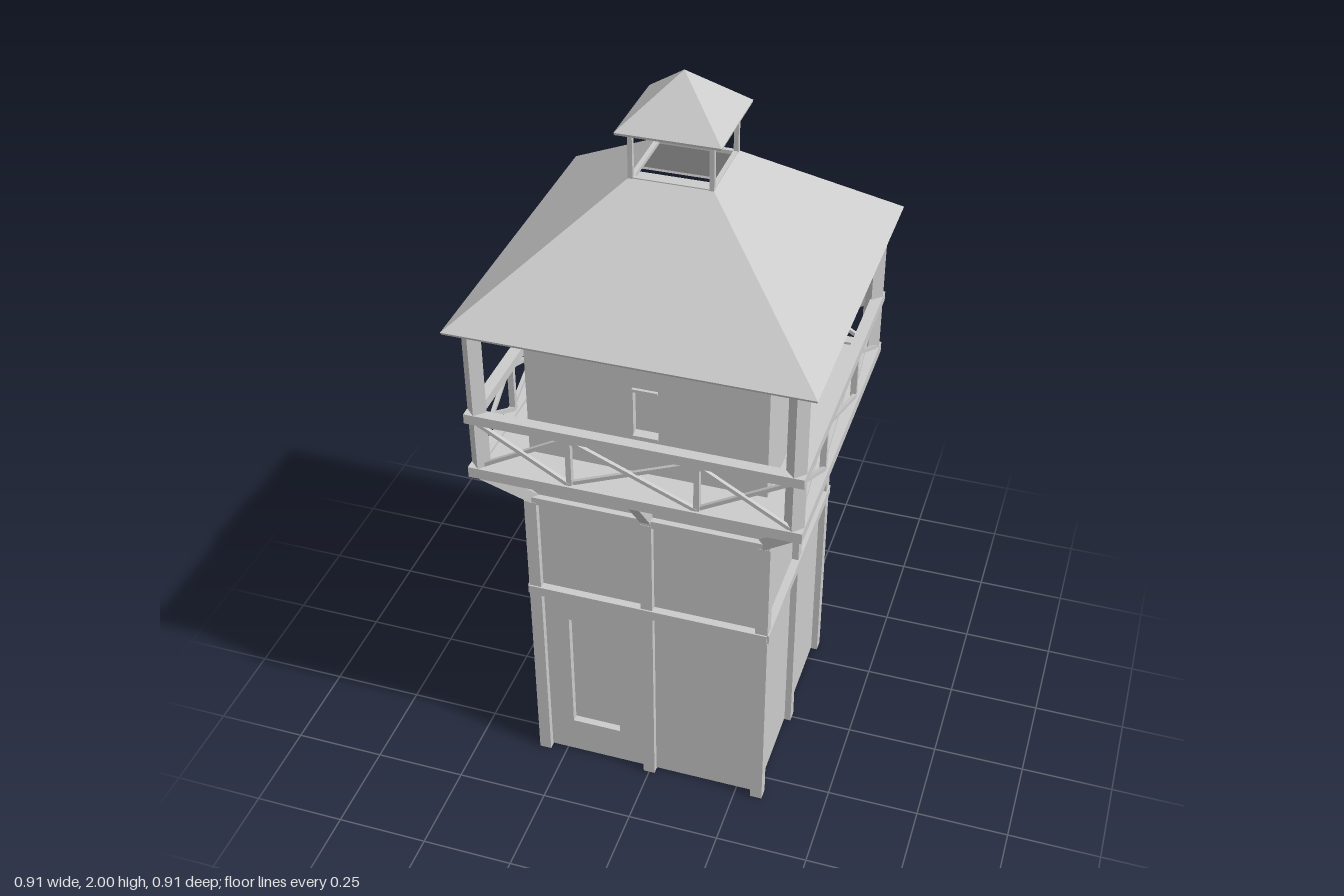
import * as THREE from 'three';

const mat = new THREE.MeshStandardMaterial({ color: 0xcccccc, flatShading: true });
const thin = new THREE.MeshStandardMaterial({ color: 0xcccccc, flatShading: true, side: THREE.DoubleSide });

function add(parent, name, geometry, x = 0, y = 0, z = 0, material = mat) {
  const mesh = new THREE.Mesh(geometry, material);
  mesh.name = name;
  mesh.position.set(x, y, z);
  parent.add(mesh);
  return mesh;
}

const box = (parent, name, w, h, d, x, y, z) =>
  add(parent, name, new THREE.BoxGeometry(w, h, d), x, y, z);

// Straight timber from point a to point b
function beam(parent, name, a, b, w, h) {
  const from = new THREE.Vector3(...a), to = new THREE.Vector3(...b);
  const mesh = new THREE.Mesh(new THREE.BoxGeometry(w, h, from.distanceTo(to)), mat);
  mesh.name = name;
  mesh.position.copy(from).add(to).multiplyScalar(0.5);
  mesh.lookAt(to);
  parent.add(mesh);
}

// Open four-sided shell with half-widths at top and bottom
function shell(parent, name, topHalf, bottomHalf, y0, y1) {
  const g = new THREE.CylinderGeometry(topHalf * Math.SQRT2, bottomHalf * Math.SQRT2, y1 - y0, 4, 1, true);
  g.rotateY(Math.PI / 4);
  add(parent, name, g, 0, (y0 + y1) / 2, 0, thin);
}

function rectPath(Type, x0, y0, x1, y1) {
  const p = new Type();
  p.moveTo(x0, y0);
  p.lineTo(x1, y0);
  p.lineTo(x1, y1);
  p.lineTo(x0, y1);
  p.closePath();
  return p;
}

// Recessed panel with its four reveals
function recess(parent, name, [x0, y0, x1, y1], z, depth) {
  const w = x1 - x0, h = y1 - y0, cx = (x0 + x1) / 2, cy = (y0 + y1) / 2;
  add(parent, name, new THREE.PlaneGeometry(w, h), cx, cy, z - depth, thin);
  const g = new THREE.CylinderGeometry(Math.SQRT1_2, Math.SQRT1_2, 1, 4, 1, true);
  g.rotateY(Math.PI / 4).rotateX(Math.PI / 2).scale(w, h, depth);
  add(parent, name + 'Reveal', g, cx, cy, z - depth / 2, thin);
}

const WALL = 0.31, TOP = 1.47, RAIL = 0.413;
const WINDOW = [-0.032, 1.17, 0.032, 1.3];
const DOOR = [-0.228, 0.116, -0.09, 0.5];

function buildWall(side, i) {
  const shape = rectPath(THREE.Shape, -WALL, 0.005, WALL, TOP);
  const openings = i === 0 ? [WINDOW, DOOR] : [WINDOW];
  for (const o of openings) {
    shape.holes.push(rectPath(THREE.Path, ...o));
    recess(side, o === DOOR ? 'door' : 'window', o, WALL, 0.02);
  }
  add(side, 'wall', new THREE.ShapeGeometry(shape), 0, 0, WALL, thin);
  // Window lintel and sill
  if (i < 2) {
    box(side, 'windowLintel', 0.064, 0.008, 0.012, 0, 1.304, WALL + 0.002);
    box(side, 'windowSill', 0.064, 0.008, 0.012, 0, 1.166, WALL + 0.002);
  }
  // Timber frame on the lower tower
  box(side, 'middlePost', 0.032, 0.9, 0.032, 0, 0.45, WALL + 0.002);
  box(side, 'middleBelt', 0.655, 0.028, 0.034, 0, 0.6, WALL + 0.005);
  box(side, 'upperBelt', 0.65, 0.022, 0.032, 0, 0.905, WALL + 0.001);
  box(side, 'cornerPost', 0.033, 0.9, 0.033, WALL + 0.0015, 0.45, WALL + 0.0015);
}

function buildGallery(side) {
  // Floor beam, hand rail and eaves beam
  for (const [name, y, h] of [['floorBeam', 1.045, 0.03], ['handRail', 1.209, 0.027], ['eavesBeam', 1.46, 0.022]]) {
    box(side, name, 0.856, h, 0.03, 0, y, RAIL);
  }
  // Corner post, set diagonally
  const post = box(side, 'galleryPost', 0.036, 0.42, 0.036, 0.402, 1.25, 0.402);
  post.rotation.y = Math.PI / 4;
  // Struts below the floor
  beam(side, 'middleStrut', [0, 0.905, 0.31], [0, 1.035, 0.41], 0.028, 0.025);
  beam(side, 'cornerStrut', [0.305, 0.9, 0.305], [0.405, 1.035, 0.405], 0.028, 0.03);
  // Crossed braces in three bays
  const stops = [-0.4, -0.163, 0.163, 0.4];
  for (let k = 0; k < 3; k++) {
    const a = stops[k], b = stops[k + 1];
    beam(side, 'crossBrace', [a, 1.06, RAIL - 0.004], [b, 1.196, RAIL - 0.004], 0.01, 0.01);
    beam(side, 'crossBrace', [a, 1.196, RAIL + 0.004], [b, 1.06, RAIL + 0.004], 0.01, 0.01);
    if (k) box(side, 'baluster', 0.014, 0.14, 0.016, a, 1.128, RAIL);
  }
}

export function createModel() {
  const model = new THREE.Group();
  model.name = 'waterTower';

  for (let i = 0; i < 4; i++) {
    const side = new THREE.Group();
    side.name = 'side' + (i + 1);
    side.rotation.y = i * Math.PI / 2;
    buildWall(side, i);
    buildGallery(side);
    // Cupola posts and rims
    box(side, 'cupolaPost', 0.012, 0.135, 0.012, 0.1, 1.815, 0.1);
    box(side, 'cupolaBeam', 0.21, 0.01, 0.012, 0, 1.878, 0.1);
    box(side, 'roofOpeningRim', 0.21, 0.01, 0.012, 0, 1.754, 0.099);
    model.add(side);
  }

  // Gallery floor around the tower
  const floor = rectPath(THREE.Shape, -0.41, -0.41, 0.41, 0.41);
  floor.holes.push(rectPath(THREE.Path, -WALL, -WALL, WALL, WALL));
  const floorGeometry = new THREE.ExtrudeGeometry(floor, { depth: 0.015, bevelEnabled: false });
  floorGeometry.rotateX(-Math.PI / 2);
  add(model, 'galleryFloor', floorGeometry, 0, 1.038, 0);

  // Main roof, open under the cupola, and the cupola roof
  shell(model, 'roof', 0.103, 0.455, 1.472, 1.758);
  shell(model, 'roofEdge', 0.455, 0.453, 1.466, 1.472);
  shell(model, 'cupolaRoof', 0.0001, 0.13, 1.882, 2);
  shell(model, 'cupolaRoofEdge', 0.13, 0.129, 1.876, 1.882);

  return model;
}
